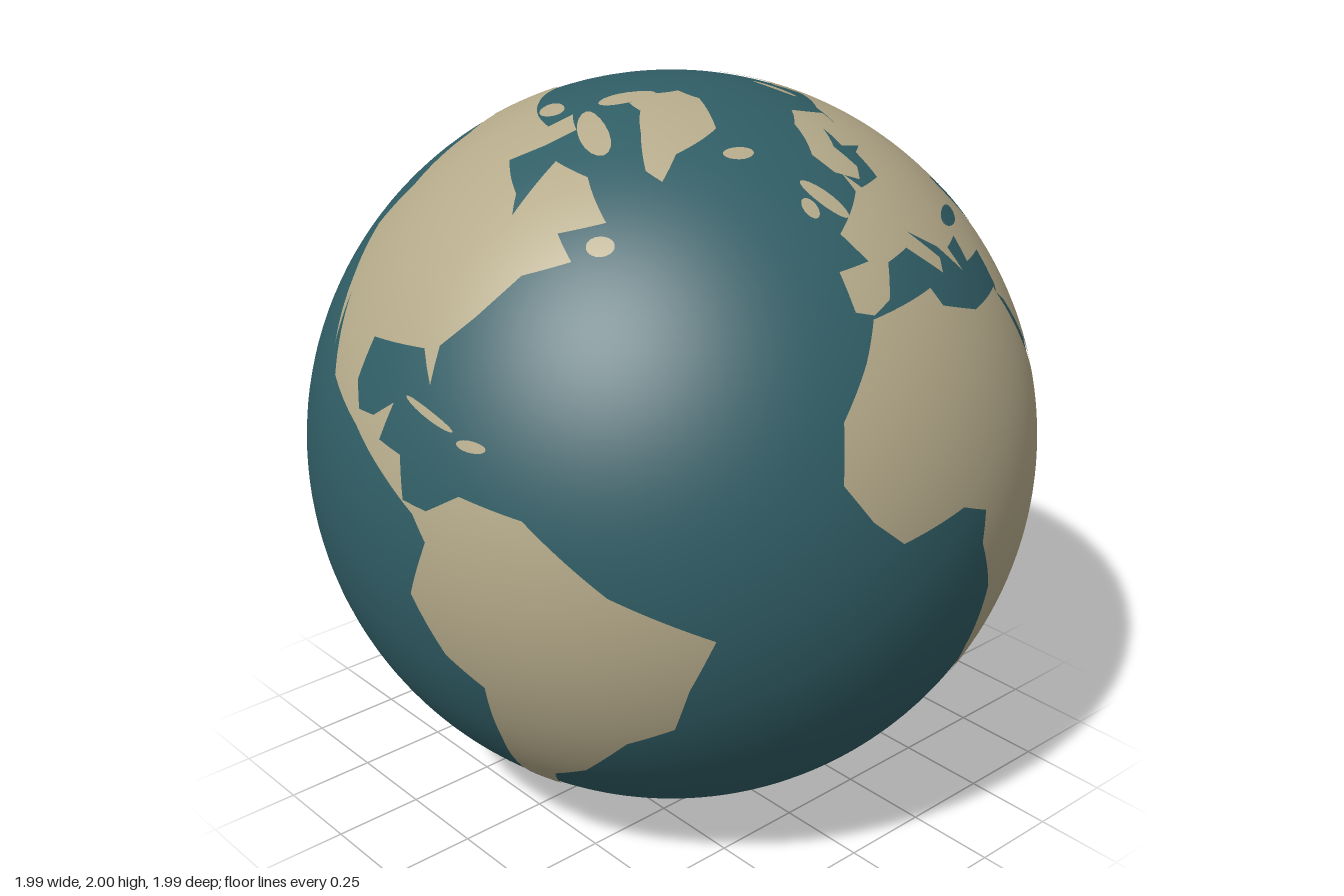
import * as THREE from 'three';

const RAD = Math.PI / 180, MAX_EDGE = 3;
const OCEAN_RADIUS = 0.997, LAND_RADIUS = 1, SEA_RADIUS = 1.0012;

// Splits long edges at their middles until the flat triangle can follow the sphere.
function subdivide(a, b, c, out) {
  const ab = a.distanceTo(b), bc = b.distanceTo(c), ca = c.distanceTo(a);
  const longest = Math.max(ab, bc, ca);
  if (longest <= MAX_EDGE) {
    out.push(a, b, c);
  } else if (ab === longest) {
    const m = a.clone().add(b).multiplyScalar(0.5);
    subdivide(a, m, c, out);
    subdivide(m, b, c, out);
  } else if (bc === longest) {
    subdivide(b, c, a, out);
  } else {
    subdivide(c, a, b, out);
  }
}

// Fills an outline given in degrees of longitude and latitude and wraps it onto the globe.
function patch(name, outline, radius, material) {
  const flat = new THREE.ShapeGeometry(new THREE.Shape(outline)).toNonIndexed().attributes.position;
  const corner = (i) => new THREE.Vector2(flat.getX(i), flat.getY(i));
  const points = [];
  for (let i = 0; i < flat.count; i += 3) subdivide(corner(i), corner(i + 1), corner(i + 2), points);
  const normals = points.flatMap(({ x: lon, y: lat }) => {
    const ring = Math.cos(lat * RAD);
    return [ring * Math.cos(lon * RAD), Math.sin(lat * RAD), -ring * Math.sin(lon * RAD)];
  });
  const geometry = new THREE.BufferGeometry();
  geometry.setAttribute('position', new THREE.Float32BufferAttribute(normals.map((n) => n * radius), 3));
  geometry.setAttribute('normal', new THREE.Float32BufferAttribute(normals, 3));
  const mesh = new THREE.Mesh(geometry, material);
  mesh.name = name;
  return mesh;
}

// Pairs of longitude and latitude become outline points.
function coast(...degrees) {
  const outline = [];
  for (let i = 0; i < degrees.length; i += 2) outline.push(new THREE.Vector2(degrees[i], degrees[i + 1]));
  return outline;
}

// A tilted oval on the globe; east-west size is widened to allow for the shrinking parallels.
function oval(lon, lat, halfLength, halfWidth, tilt) {
  return new THREE.EllipseCurve(0, 0, halfLength, halfWidth, 0, Math.PI * 2, false, tilt * RAD)
    .getPoints(18).slice(0, -1)
    .map((p) => new THREE.Vector2(lon + p.x / Math.cos((lat + p.y) * RAD), lat + p.y));
}

export function createModel() {
  const oceanBlue = new THREE.MeshStandardMaterial({ color: 0x305d65 });
  oceanBlue.name = 'oceanBlue';
  const landTan = new THREE.MeshStandardMaterial({ color: 0xb5aa8a });
  landTan.name = 'landTan';

  const globe = new THREE.Group();
  globe.name = 'globe';
  globe.position.y = 1;

  const ocean = new THREE.Mesh(new THREE.SphereGeometry(OCEAN_RADIUS, 128, 80), oceanBlue);
  ocean.name = 'ocean';
  globe.add(ocean);

  const land = (name, outline) => globe.add(patch(name, outline, LAND_RADIUS, landTan));
  const sea = (name, outline) => globe.add(patch(name, outline, SEA_RADIUS, oceanBlue));

  // The Americas
  land('northAmerica', coast(-168, 66, -156, 71, -128, 70, -96, 68, -94, 72, -82, 69, -87, 64.5, -94, 60, -82, 55, -79, 51.5,
    -78, 62, -65, 60, -56, 52.5, -66, 50, -61, 46, -70, 43, -76, 36, -81, 31, -80.5, 25.5, -84, 30, -97, 28.5, -97.5, 22,
    -95, 18.3, -91, 18.6, -87, 21.5, -88.5, 15.8, -83.5, 15, -82, 9, -77.5, 8.6, -80, 7.5, -86, 11, -95, 16, -105.5, 20,
    -113, 31, -110, 23.5, -117, 33, -124, 40, -124, 48, -134, 58, -146, 61, -163, 54.8, -158, 59, -165, 62));
  land('southAmerica', coast(-80, 7.5, -77.5, 8.6, -72, 12, -62, 10.5, -50, 1, -35.5, -5.5, -39, -14, -41, -22, -48.5, -26,
    -57, -36, -65, -41, -69, -51, -66, -55, -73, -53, -75, -47, -71.5, -31, -70.3, -18.4, -76.2, -14, -81, -5, -77.5, 4));
  land('greenland', coast(-72, 78, -60, 82, -33, 83.5, -18, 80, -22, 71, -40, 65.5, -44, 60, -49, 62, -54, 70, -60, 76));

  // Europe and Asia meet along one straight inner border
  land('europe', coast(-9, 37, -9, 43, -1.5, 43.5, -4.5, 48.4, 8, 54, 9, 57.5, 11, 54.2, 20, 54.6, 23.5, 59.5, 29, 60, 21.5, 61.5,
    25, 65.5, 17.5, 62, 17, 57.5, 13, 55.5, 7, 58, 5.5, 62, 15, 68.5, 27, 71, 41, 67, 35, 64.5, 45, 68, 29, 41, 23, 40.5,
    23, 36.5, 19.5, 41.5, 13.5, 45.5, 18, 40, 16, 38, 10, 43.5, 3, 42.5, -1, 37.5, -5.5, 36));
  land('asia', coast(45, 68, 67, 69, 70, 73, 80, 73, 104, 77.5, 113, 73.5, 140, 72.5, 170, 70, 190, 66, 178, 62.5, 163, 59, 157, 51,
    156, 58, 162, 61.5, 142, 59, 136, 54.5, 141, 52, 139, 47.5, 129, 41, 129, 35.5, 126.5, 35, 125, 39.5, 118.5, 39, 122, 37,
    119.5, 35, 122, 30, 117, 23.5, 108.5, 21.5, 106, 18.5, 109, 12, 105, 9, 101, 13, 99.5, 10, 103.8, 1.5, 98.5, 8, 97.5, 16.5,
    91, 22.5, 86, 20, 80, 15, 77.5, 8.2, 73, 19, 67, 25, 57, 26, 48.5, 30, 51.5, 24.5, 56.5, 25.5, 59.5, 22.5, 52, 15.7,
    43.5, 12.8, 35, 28, 32.5, 30, 34, 31, 36, 36.5, 27, 37, 29, 41));
  sea('blackSea', oval(34.5, 43.3, 4.2, 1.4, 0));
  sea('caspianSea', oval(51, 42, 5.2, 1.8, 100));

  // Southern continents
  land('africa', coast(-6, 35.5, 10, 37, 11, 34, 20, 31, 32.5, 31, 32.5, 30, 37.2, 20, 43, 11.8, 51, 11.8, 47.5, 4.3, 39.5, -5,
    40.5, -15, 35, -20, 35.5, -24, 32.5, -28.5, 26, -34, 19, -34.5, 14.5, -22.5, 13.5, -10, 9, -1, 9.5, 4, 4, 6.3, -8, 4.5,
    -13, 8.8, -17.3, 14.7, -16, 23, -10, 30));
  land('australia', coast(114, -22, 122, -17.5, 131, -12, 137, -12.3, 140, -17.5, 142.5, -11, 146, -19, 153, -26, 150, -37.3,
    144, -38.7, 138, -34, 131, -31.5, 124, -33.5, 115.5, -34.5));
  land('antarctica', coast(-180, -90, 180, -90, 180, -78, 170, -72, 135, -66.2, 90, -66.5, 72, -71, 55, -66.5, 0, -70, -35, -78,
    -60, -76, -62, -66, -75, -73, -130, -74.5, -155, -78, -180, -78));

  // Islands
  land('ellesmereIsland', oval(-80, 79.3, 4.2, 2, 50));
  land('baffinIsland', oval(-74, 69, 6.3, 2.1, -45));
  land('victoriaIsland', oval(-110, 71, 2.8, 1.8, 0));
  land('newfoundland', oval(-56, 48.7, 2, 1.6, 0));
  land('cuba', oval(-79.5, 21.7, 5, 0.6, -16));
  land('hispaniola', oval(-71, 19, 2.4, 0.8, 0));
  land('iceland', oval(-19, 65, 2.3, 1.3, 0));
  land('britain', oval(-2.5, 54.3, 4.2, 1.4, 115));
  land('ireland', oval(-8, 53.3, 1.8, 1.2, 90));
  land('novayaZemlya', oval(59, 74, 3.6, 0.9, 55));
  land('madagascar', oval(46.8, -19, 6.8, 2, 70));
  land('sakhalin', oval(142.8, 50, 4.2, 0.6, 90));
  land('hokkaido', oval(143, 43.3, 1.8, 1.3, 0));
  land('honshu', oval(136.8, 36.3, 5.5, 1.1, 40));
  land('luzon', oval(121.5, 15.5, 3.3, 1, 110));
  land('mindanao', oval(124.5, 8, 2.2, 1.4, 0));
  land('borneo', oval(114, 1, 5.2, 3.2, 50));
  land('sumatra', oval(101, 0, 7.8, 1.6, -46));
  land('java', oval(110, -7.2, 4.5, 0.6, -8));
  land('sulawesi', oval(121, -2, 3, 0.9, 80));
  land('newGuinea', oval(140, -5.2, 9.8, 2.3, -24));

  const model = new THREE.Group();
  model.name = 'earthGlobe';
  model.add(globe);
  return model;
}
